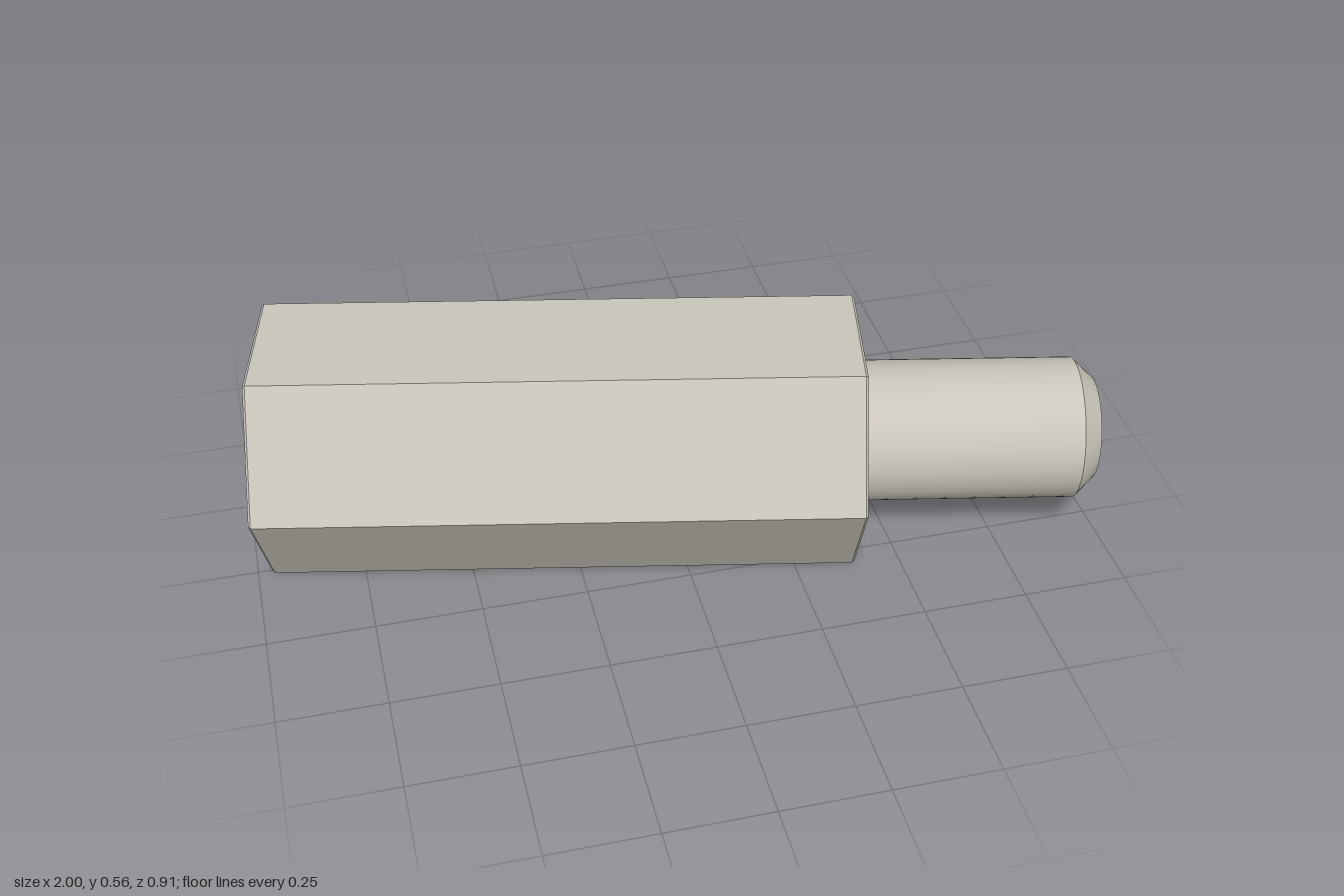
import * as THREE from 'three';
import { toCreasedNormals } from 'three/addons/utils/BufferGeometryUtils.js';

const HEX_R = 0.321, HEX_LEN = 1.39, BEVEL = 0.006;
const STUD_R = 0.167, STUD_LEN = 0.562;
const BORE_R = 0.14, SINK_R = 0.181, SINK_DEPTH = 0.042, BORE_DEPTH = 0.8;

// Turns a [radius, distance] profile around the x axis, keeping sharp edges
function turned(profile, sides) {
  const points = profile.map(([r, d]) => new THREE.Vector2(r, d));
  const geometry = new THREE.LatheGeometry(points, sides).rotateZ(-Math.PI / 2);
  return toCreasedNormals(geometry, 0.5);
}

export function createModel() {
  const metal = new THREE.MeshStandardMaterial({ color: 0xc9c5ba });
  metal.name = 'metal';

  const model = new THREE.Group();
  model.name = 'hexStandoff';
  const add = (name, geometry) => {
    const mesh = new THREE.Mesh(geometry, metal);
    mesh.name = name;
    model.add(mesh);
  };

  // Six-sided body with fine bevels, closed at the stud end
  add('hexBody', turned([
    [HEX_R - BEVEL, 0], [HEX_R, BEVEL], [HEX_R, HEX_LEN - BEVEL],
    [HEX_R - BEVEL, HEX_LEN], [0, HEX_LEN],
  ], 6));

  // End face around the bore
  const face = new THREE.Shape();
  for (let i = 0; i < 6; i++) {
    const a = i * Math.PI / 3, r = HEX_R - BEVEL;
    face[i ? 'lineTo' : 'moveTo'](r * Math.cos(a), r * Math.sin(a));
  }
  face.closePath();
  face.holes.push(new THREE.Path().absarc(0, 0, SINK_R, 0, Math.PI * 2, true));
  add('boreFace', new THREE.ShapeGeometry(face, 24).rotateY(-Math.PI / 2));

  // Countersunk blind bore, facing inward
  add('bore', turned([
    [0, BORE_DEPTH], [BORE_R, BORE_DEPTH], [BORE_R, SINK_DEPTH], [SINK_R, 0],
  ], 48));

  // Round stud with a chamfered tip
  const tip = HEX_LEN + STUD_LEN;
  add('stud', turned([
    [STUD_R, HEX_LEN], [STUD_R, tip - 0.048], [0.121, tip], [0, tip],
  ], 48));

  // Lies on a flat, swung slightly toward the front
  model.rotation.y = -THREE.MathUtils.degToRad(12);
  model.position.set(-0.934, HEX_R * Math.cos(Math.PI / 6), -0.147);
  const root = new THREE.Group();
  root.name = 'standoff';
  root.add(model);
  return root;
}
